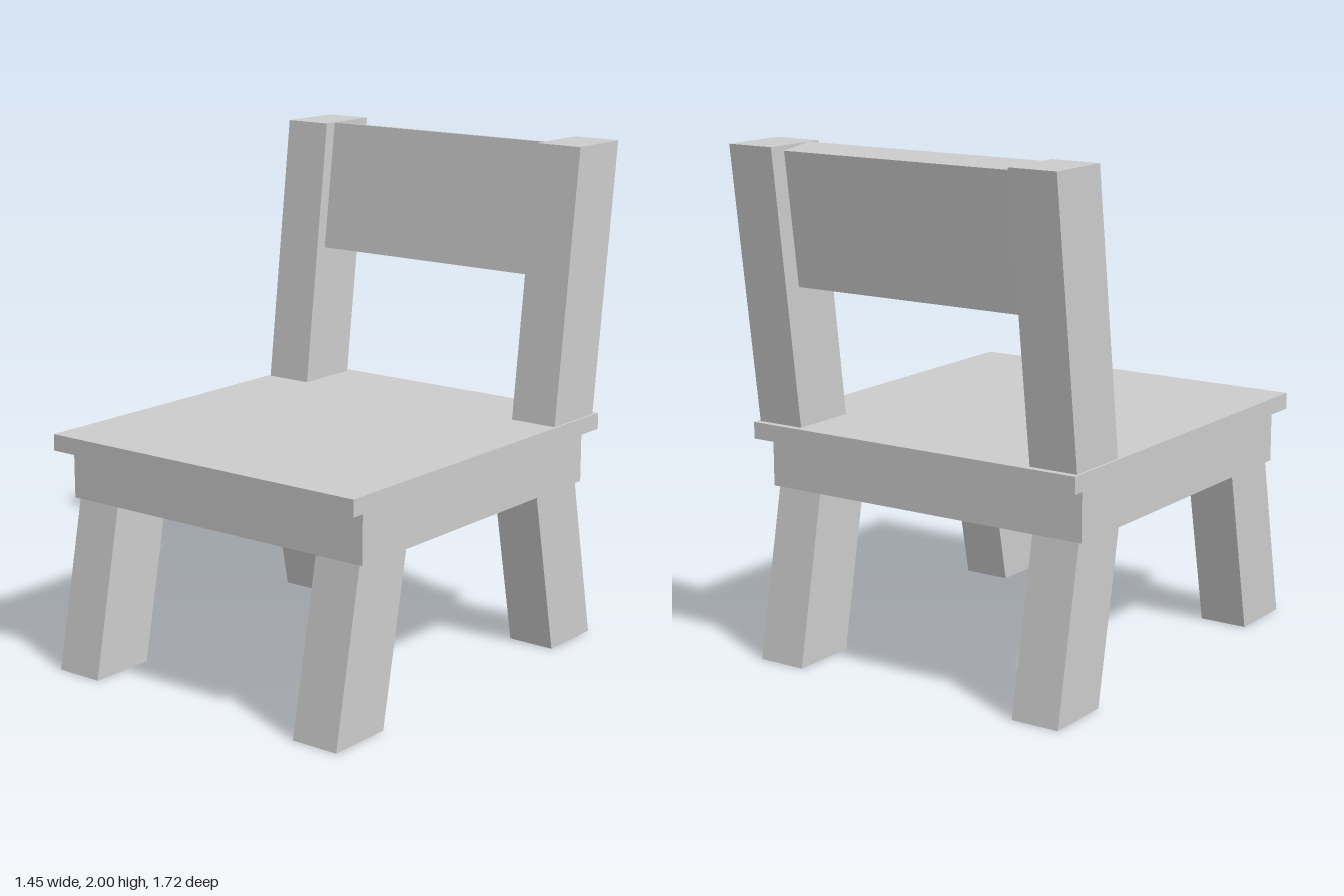
import * as THREE from 'three';

const material = new THREE.MeshStandardMaterial({ color: 0xcccccc, flatShading: true });

// Box from y0 to y1 whose depth range slides from [back, front] at the bottom by "lean" at the top.
function leaningBar(name, x0, x1, y0, y1, back, front, lean) {
  const geometry = new THREE.BoxGeometry(x1 - x0, y1 - y0, front - back);
  geometry.translate((x0 + x1) / 2, (y0 + y1) / 2, (back + front) / 2);
  const p = geometry.attributes.position;
  for (let i = 0; i < p.count; i++) {
    p.setZ(i, p.getZ(i) + lean * (p.getY(i) - y0) / (y1 - y0));
  }
  geometry.computeVertexNormals();
  const mesh = new THREE.Mesh(geometry, material);
  mesh.name = name;
  return mesh;
}

export function createModel() {
  const chair = new THREE.Group();
  chair.name = 'chair';

  // Seat board and the frame beneath it
  chair.add(leaningBar('seat', -0.725, 0.725, 0.865, 0.93, -0.755, 0.82, 0));
  chair.add(leaningBar('seatFrame', -0.702, 0.702, 0.665, 0.865, -0.672, 0.737, 0));

  // Splayed legs and reclined back posts on each side
  for (const [side, s] of [['left', 1], ['right', -1]]) {
    const span = (a, b) => (s > 0 ? [a, b] : [-b, -a]);
    chair.add(leaningBar(side + 'FrontLeg', ...span(0.485, 0.682), 0, 0.665, 0.586, 0.861, -0.133));
    chair.add(leaningBar(side + 'BackLeg', ...span(0.485, 0.682), 0, 0.665, -0.794, -0.522, 0.132));
    chair.add(leaningBar(side + 'BackPost', ...span(0.517, 0.715), 0.93, 2, -0.728, -0.456, -0.135));
  }

  // Backrest panel, tilted back between the posts
  const backrest = new THREE.Mesh(new THREE.BoxGeometry(1.04, 0.518, 0.147), material);
  backrest.name = 'backrest';
  backrest.position.set(0, 1.733, -0.683);
  backrest.rotation.x = -0.132;
  chair.add(backrest);

  return chair;
}
